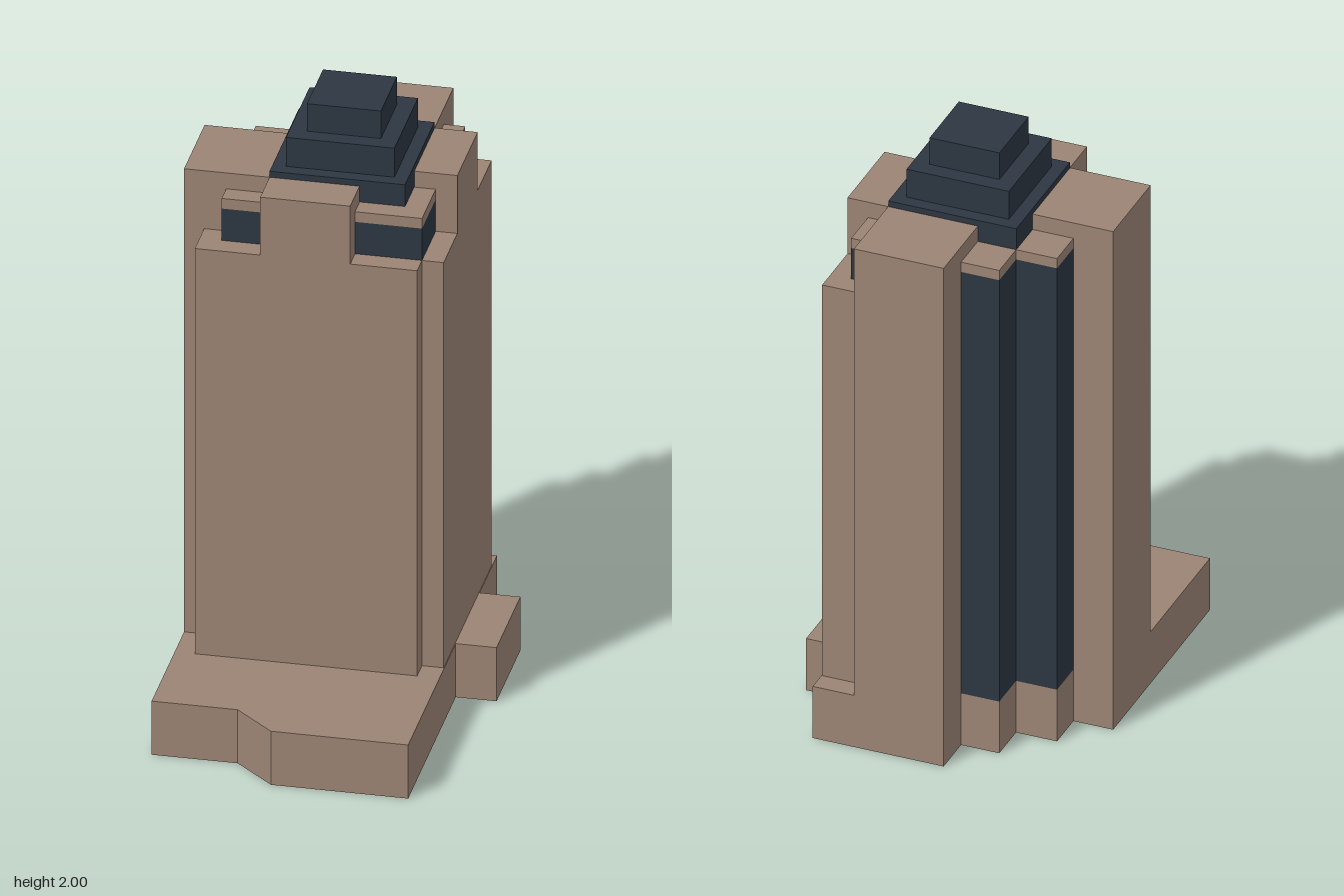
import * as THREE from 'three';

export function createModel() {
  const model = new THREE.Group();
  model.name = 'skyscraper';

  const stone = new THREE.MeshStandardMaterial({ name: 'tan stone', color: 0x9b8474 });
  const glass = new THREE.MeshStandardMaterial({ name: 'dark glass', color: 0x2c3642 });

  function add(name, geometry, material) {
    const mesh = new THREE.Mesh(geometry, material);
    mesh.name = name;
    model.add(mesh);
  }

  // Box given by its limits on each axis
  function block(name, material, [x0, x1], [y0, y1], [z0, z1]) {
    const geometry = new THREE.BoxGeometry(x1 - x0, y1 - y0, z1 - z0);
    geometry.translate((x0 + x1) / 2, (y0 + y1) / 2, (z0 + z1) / 2);
    add(name, geometry, material);
  }

  // Vertical prism from a plan outline of [x, z] points
  function prism(name, material, plan, [y0, y1]) {
    const shape = new THREE.Shape(plan.map(([x, z]) => new THREE.Vector2(x, -z)));
    const geometry = new THREE.ExtrudeGeometry(shape, { depth: y1 - y0, bevelEnabled: false });
    geometry.rotateX(-Math.PI / 2).translate(0, y0, 0);
    add(name, geometry, material);
  }

  const BASE = 0.185, LEDGE = 1.585, GLASS_TOP = 1.695, CAP = 1.73, WING = 1.785, CORE = 1.805;

  // Podium with side annex, chamfered front and stepped back corner
  prism('podium', stone, [
    [-0.08, -0.643], [0.35, -0.643], [0.35, -0.39], [0.478, -0.39], [0.478, -0.045], [0.35, -0.045],
    [0.35, 0.643], [-0.08, 0.643], [-0.21, 0.525], [-0.48, 0.525], [-0.48, -0.242], [-0.348, -0.242],
    [-0.348, -0.372], [-0.212, -0.372], [-0.212, -0.505], [-0.085, -0.505], [-0.085, -0.643],
  ], [0, BASE]);

  // Main shaft with notched corners
  prism('shaft', stone, [
    [-0.085, -0.643], [0.213, -0.643], [0.213, -0.573], [0.348, -0.573], [0.348, 0.12], [0.28, 0.12],
    [0.28, 0.19], [-0.417, 0.19], [-0.417, 0.055], [-0.48, 0.055], [-0.48, -0.242],
    [-0.212, -0.242], [-0.212, -0.372], [-0.085, -0.372],
  ], [BASE, LEDGE]);

  // Upper wings, one on each side of the core
  const wings = {
    frontWing: [[-0.212, 0.07], [0.055, 0.19]],
    rightWing: [[0.213, 0.348], [-0.372, -0.078]],
    leftWing: [[-0.48, -0.212], [-0.242, 0.055]],
    backWing: [[-0.085, 0.213], [-0.643, -0.372]],
  };
  for (const [name, [x, z]] of Object.entries(wings)) block(name, stone, x, [LEDGE, WING], z);

  // Glazed bays with stone caps: [name, bottom, x limits, z limits]
  const bays = [
    ['frontLeftBay', LEDGE, [-0.348, -0.212], [0.055, 0.12]],
    ['frontRightBay', LEDGE, [0.07, 0.28], [-0.078, 0.12]],
    ['backRightBay', LEDGE, [0.213, 0.28], [-0.505, -0.372]],
    ['sideGlassColumn', BASE, [-0.348, -0.212], [-0.372, -0.242]],
    ['backGlassColumn', BASE, [-0.212, -0.085], [-0.505, -0.372]],
  ];
  for (const [name, bottom, x, z] of bays) {
    block(name, glass, x, [bottom, GLASS_TOP], z);
    block(name + 'Cap', stone, x, [GLASS_TOP, CAP], z);
  }

  // Stepped crown: half width, bottom, top
  [[0.2125, LEDGE, CORE], [0.17, CORE, 1.905], [0.116, 1.905, 2]].forEach(([h, y0, y1], i) =>
    block('crownTier' + (i + 1), glass, [-h, h], [y0, y1], [-0.159 - h, -0.159 + h]));

  return model;
}
